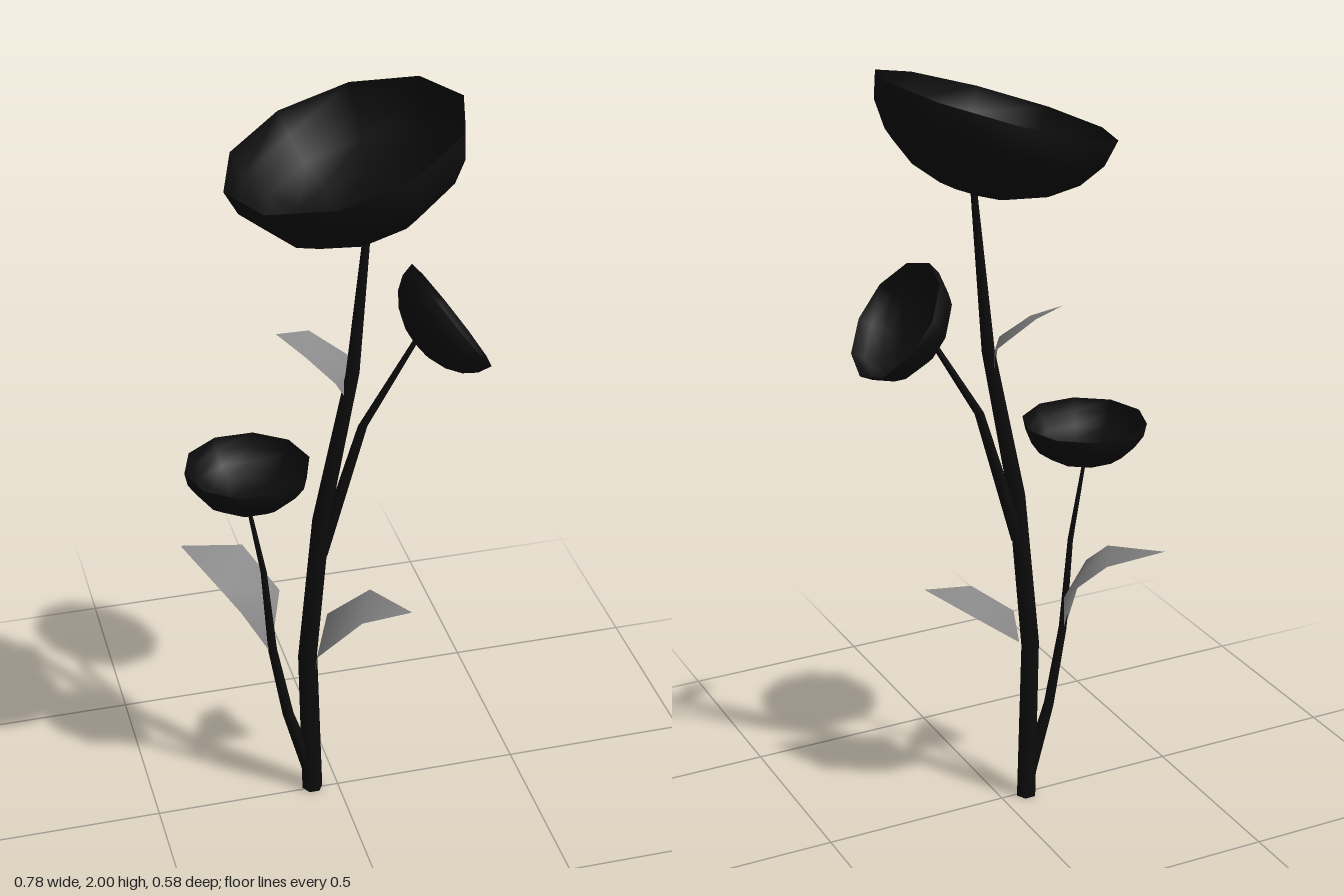
import * as THREE from 'three';

const dark = new THREE.MeshStandardMaterial({ color: 0x0c0c0c, side: THREE.DoubleSide });
const leafMat = new THREE.MeshStandardMaterial({ color: 0x888888, side: THREE.DoubleSide });

function mesh(name, geometry, material) {
  const m = new THREE.Mesh(geometry, material);
  m.name = name;
  return m;
}

function buildGeometry(positions, index) {
  const g = new THREE.BufferGeometry();
  g.setAttribute('position', new THREE.Float32BufferAttribute(positions, 3));
  g.setIndex(index);
  g.computeVertexNormals();
  return g;
}

// Tapered stalk: horizontal rings [x, y, z, radius] joined in order, closed at both ends
function stalk(name, rings, sides = 6) {
  const pos = [], idx = [];
  for (const [x, y, z, r] of rings) {
    for (let i = 0; i < sides; i++) {
      const a = (i / sides) * Math.PI * 2;
      pos.push(x + r * Math.cos(a), y, z + r * Math.sin(a));
    }
  }
  for (let k = 0; k < rings.length - 1; k++) {
    for (let i = 0; i < sides; i++) {
      const a = k * sides + i, b = k * sides + (i + 1) % sides;
      idx.push(a, a + sides, b, b, a + sides, b + sides);
    }
  }
  const last = (rings.length - 1) * sides;
  for (let i = 1; i < sides - 1; i++) {
    idx.push(0, i, i + 1);
    idx.push(last, last + i + 1, last + i);
  }
  return mesh(name, buildGeometry(pos, idx), dark);
}

// Open flower bowl: flattened lower half of a ten-sided sphere
function bloom(name, radius, position, tilt) {
  const g = new THREE.SphereGeometry(radius, 10, 5, 0, Math.PI * 2, Math.PI / 2, Math.PI / 2);
  g.scale(1, 0.72, 1);
  const m = mesh(name, g, dark);
  m.position.set(...position);
  m.rotation.z = tilt;
  return m;
}

// Curled leaf: base, lower pair, upper pair, tip
function leaf(name, points) {
  const idx = [0, 1, 2, 1, 3, 2, 2, 3, 4, 3, 5, 4];
  return mesh(name, buildGeometry(points.flat(), idx), leafMat);
}

export function createModel() {
  const group = new THREE.Group();
  group.name = 'flowerPlant';

  // Stems
  group.add(
    stalk('mainStem', [
      [-0.07, 0, -0.007, 0.028], [-0.081, 0.45, -0.005, 0.026], [-0.043, 0.88, 0, 0.024],
      [0.038, 1.29, 0, 0.018], [0.076, 1.71, 0, 0.009],
    ]),
    stalk('leftBranch', [
      [-0.045, 0.76, -0.005, 0.02], [0.067, 1.13, -0.008, 0.013], [0.203, 1.355, -0.01, 0.008],
    ]),
    stalk('rightBranch', [
      [-0.075, 0.06, -0.008, 0.022], [-0.135, 0.26, -0.01, 0.015], [-0.175, 0.48, -0.01, 0.012],
      [-0.195, 0.73, -0.01, 0.008], [-0.234, 0.95, -0.01, 0.005],
    ]),
  );

  // Flower heads
  group.add(
    bloom('topFlower', 0.305, [0.015, 1.912, 0], 0.3),
    bloom('leftFlower', 0.161, [0.295, 1.415, -0.01], -0.94),
    bloom('rightFlower', 0.161, [-0.232, 1.06, -0.01], 0),
  );

  // Leaves
  group.add(
    leaf('rightLeaf', [
      [-0.18, 0.47, -0.01], [-0.265, 0.64, 0.03], [-0.135, 0.61, -0.09],
      [-0.307, 0.69, -0.01], [-0.215, 0.715, -0.172], [-0.378, 0.73, -0.186],
    ]),
    leaf('leftLeaf', [
      [-0.065, 0.38, 0], [-0.005, 0.51, -0.09], [-0.08, 0.505, 0.09],
      [0.105, 0.59, -0.06], [0.04, 0.6, 0.1], [0.173, 0.615, 0.105],
    ]),
    leaf('upperLeaf', [
      [0.022, 1.22, 0], [-0.02, 1.3, 0.055], [0.048, 1.308, -0.055],
      [-0.085, 1.36, 0.01], [-0.053, 1.383, -0.08], [-0.143, 1.398, -0.055],
    ]),
  );

  return group;
}
